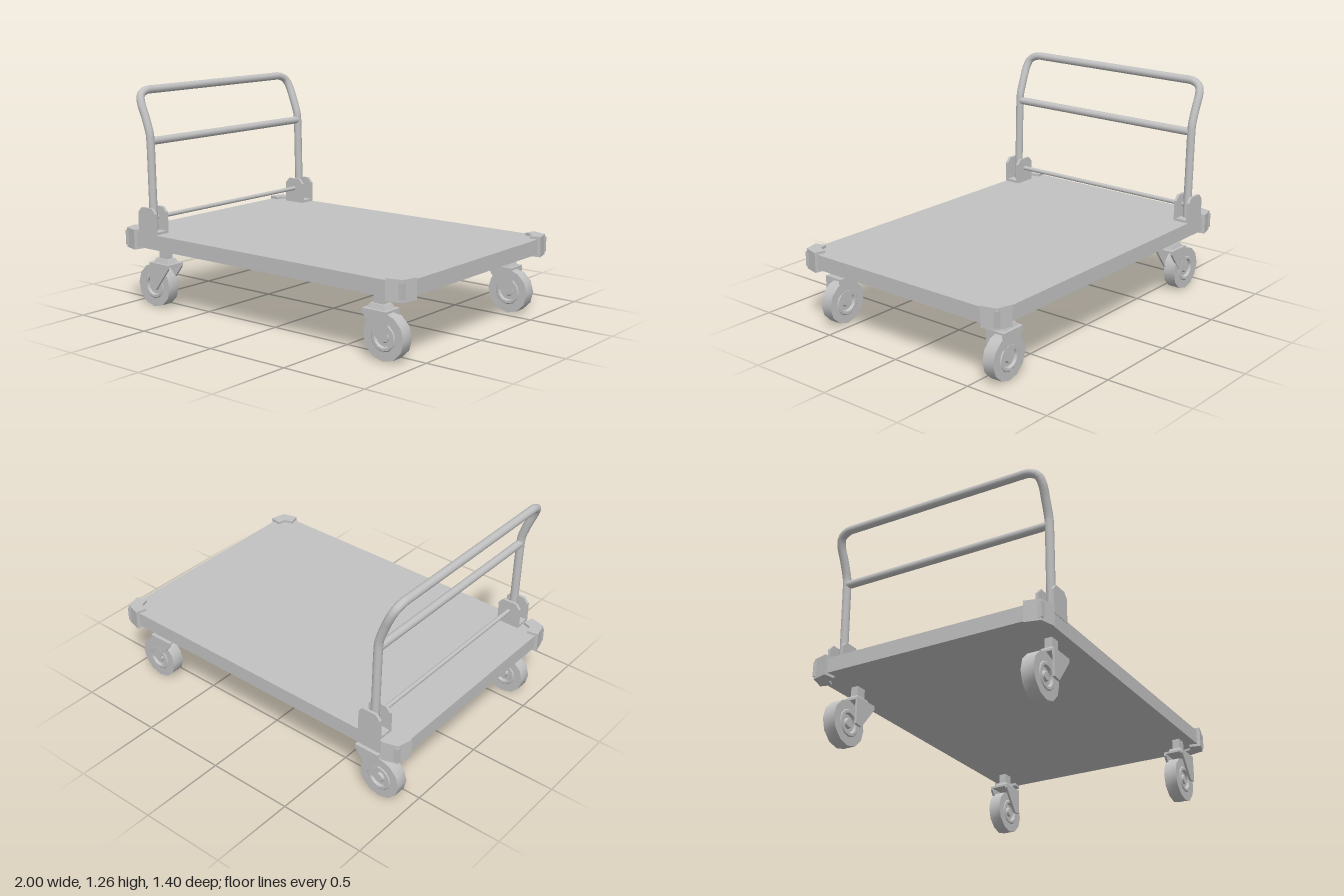
import * as THREE from 'three';
import { toCreasedNormals } from 'three/addons/utils/BufferGeometryUtils.js';

const steel = new THREE.MeshStandardMaterial({ color: 0xc1c1c1 });
steel.name = 'light grey steel';

function add(parent, name, geometry, x = 0, y = 0, z = 0) {
  const mesh = new THREE.Mesh(geometry, steel);
  mesh.name = name;
  mesh.position.set(x, y, z);
  parent.add(mesh);
}

const outline = pts => new THREE.Shape(pts.map(p => new THREE.Vector2(p[0], p[1])));
const plate = (pts, depth) =>
  new THREE.ExtrudeGeometry(outline(pts), { depth, bevelEnabled: false });

// Corner guard: L-shaped outline in x/z, extruded downward
function addCornerGuard(parent, sx, sz) {
  const pts = [[0.89, 0.70], [0.978, 0.675], [1.0, 0.588], [0.935, 0.575],
    [0.922, 0.622], [0.874, 0.637]];
  const geo = plate(pts.map(([x, z]) => [x * sx, z * sz]), 0.115).rotateX(Math.PI / 2);
  add(parent, 'cornerGuard', geo, 0, 0.455, 0);
}

// Handle socket: two chamfered cheeks on a base plate
function addSocket(parent, s) {
  const cheek = [[-0.867, 0.43], [-0.73, 0.43], [-0.73, 0.56], [-0.757, 0.59],
    [-0.84, 0.59], [-0.867, 0.56]];
  const group = new THREE.Group();
  group.name = 'handleSocket';
  for (const z of [0.592, 0.676])
    add(group, 'socketCheek', plate(cheek, 0.016), 0, 0, s * z - 0.008);
  add(group, 'socketBase', new THREE.BoxGeometry(0.137, 0.02, 0.09), -0.7985, 0.445, s * 0.635);
  parent.add(group);
}

// Wheel: tyre with stepped hub rings, axis along z
function wheelGeometry() {
  const half = [[0.022, 0.038], [0.03, 0.026], [0.05, 0.026], [0.056, 0.041],
    [0.07, 0.041], [0.076, 0.036], [0.125, 0.036]];
  const pts = [[0, -0.038], ...half.map(([r, z]) => [r, -z]),
    ...half.slice().reverse(), [0, 0.038]];
  const geo = new THREE.LatheGeometry(pts.map(p => new THREE.Vector2(p[0], p[1])), 12);
  return toCreasedNormals(geo.rotateX(Math.PI / 2), 0.6);
}

// Caster: stem, tapered swivel head, fork and wheel; d is the trailing direction
function addCaster(parent, stemX, wheelX, d, z, wheelGeo) {
  const caster = new THREE.Group();
  caster.name = 'caster';
  add(caster, 'stem', new THREE.BoxGeometry(0.062, 0.08, 0.042), stemX, 0.325, z);
  const head = new THREE.CylinderGeometry(0.75, 1, 0.03, 4, 1).rotateY(Math.PI / 4);
  head.scale(0.085, 1, 0.06);
  add(caster, 'swivelHead', toCreasedNormals(head, 0.3), stemX, 0.28, z);
  add(caster, 'forkCrown', new THREE.BoxGeometry(0.15, 0.012, 0.116), stemX, 0.264, z);
  const leg = [[-0.075, 0.27], [0.075, 0.27], [0.075, 0.12], [0.028, 0.115],
    [0, 0.15], [-0.075, 0.248]].map(([x, y]) => [stemX + d * x, y]);
  for (const dz of [-0.058, 0.045])
    add(caster, 'forkLeg', plate(leg, 0.013), 0, 0, z + dz);
  add(caster, 'wheel', wheelGeo, wheelX, 0.125, z - 0.018);
  parent.add(caster);
}

export function createModel() {
  const cart = new THREE.Group();
  cart.name = 'platformCart';

  // Platform
  add(cart, 'deck', new THREE.BoxGeometry(1.965, 0.085, 1.362), 0, 0.3975, 0);
  for (const sx of [-1, 1]) for (const sz of [-1, 1]) addCornerGuard(cart, sx, sz);

  // Push handle: bent tube mirrored about the centre plane
  const side = [[-0.795, 0.44, 0.632], [-0.801, 0.7, 0.632], [-0.808, 0.97, 0.632],
    [-0.812, 1.005, 0.632], [-0.845, 1.1, 0.632], [-0.875, 1.17, 0.632],
    [-0.895, 1.216, 0.616], [-0.904, 1.239, 0.565], [-0.905, 1.24, 0.53],
    [-0.905, 1.24, 0.49], [-0.905, 1.24, 0.25]];
  const path = [...side, ...side.slice().reverse().map(([x, y, z]) => [x, y, -z])];
  const curve = new THREE.CatmullRomCurve3(path.map(p => new THREE.Vector3(...p)));
  add(cart, 'handle', new THREE.TubeGeometry(curve, 120, 0.0235, 14));
  const bar = r => new THREE.CylinderGeometry(r, r, 1.25, 14).rotateX(Math.PI / 2);
  add(cart, 'handleCrossbar', bar(0.0225), -0.808, 0.962, 0);
  add(cart, 'lowerRod', bar(0.0125), -0.797, 0.528, 0);
  for (const s of [-1, 1]) addSocket(cart, s);

  // Casters
  const wheelGeo = wheelGeometry();
  for (const z of [0.599, -0.567]) {
    addCaster(cart, -0.74, -0.823, -1, z, wheelGeo);
    addCaster(cart, 0.79, 0.818, 1, z, wheelGeo);
  }
  return cart;
}
